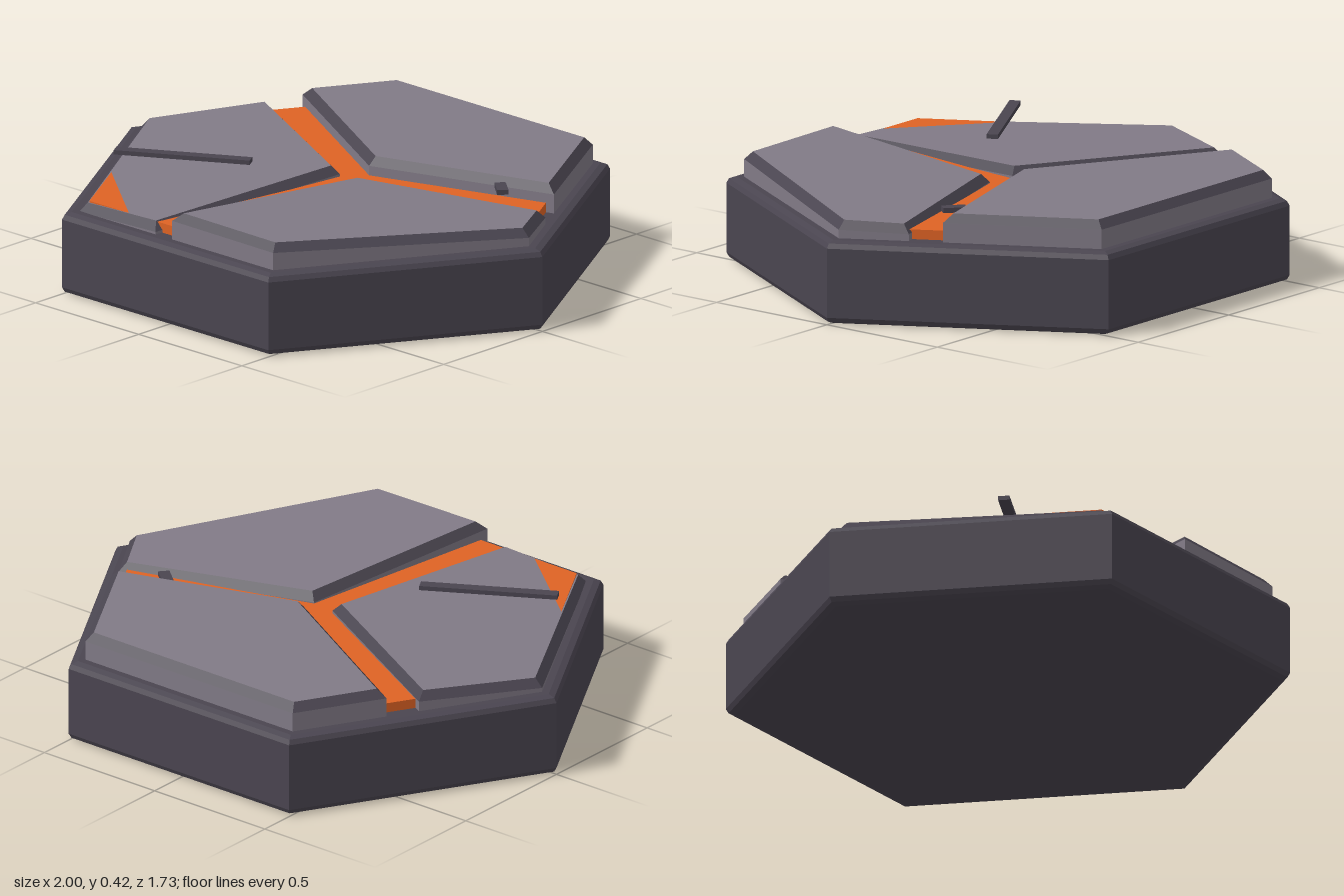
import * as THREE from 'three';

const mat = (color) => new THREE.MeshStandardMaterial({ color, flatShading: true });
const darkStone = mat(0x4a4550), paleStone = mat(0x817a86), lavaGlow = mat(0xdf6324);

// Hexagon corners [x, z], counter-clockwise seen from above
const hexagon = (r) => Array.from({ length: 6 }, (_, i) => {
  const a = (i * Math.PI) / 3;
  return [r * Math.cos(a), -r * Math.sin(a)];
});

// Raise a flat outline to a ring of 3D points at heights given by y(x, z)
const ring = (outline, y) => outline.map(([x, z]) => new THREE.Vector3(x, y(x, z), z));

// Shrink a convex outline evenly by d
function inset(outline, d) {
  const n = outline.length;
  const normals = outline.map((p, i) => {
    const q = outline[(i + 1) % n];
    return new THREE.Vector2(q[1] - p[1], p[0] - q[0]).normalize();
  });
  return outline.map(([x, z], i) => {
    const a = normals[(i + n - 1) % n], b = normals[i];
    const k = d / (1 + a.dot(b));
    return [x + (a.x + b.x) * k, z + (a.y + b.y) * k];
  });
}

// Flat-faced skin through stacked rings, with optional end caps
function loft(name, material, rings, { bottom = false, top = false } = {}) {
  const pts = [], n = rings[0].length;
  for (let r = 0; r + 1 < rings.length; r++) {
    const lo = rings[r], hi = rings[r + 1];
    for (let i = 0; i < n; i++) {
      const j = (i + 1) % n;
      pts.push(lo[i], lo[j], hi[j], lo[i], hi[j], hi[i]);
    }
  }
  const first = rings[0], last = rings[rings.length - 1];
  for (let i = 1; i < n - 1; i++) {
    if (bottom) pts.push(first[0], first[i + 1], first[i]);
    if (top) pts.push(last[0], last[i], last[i + 1]);
  }
  const geometry = new THREE.BufferGeometry().setFromPoints(pts);
  geometry.computeVertexNormals();
  const mesh = new THREE.Mesh(geometry, material);
  mesh.name = name;
  return mesh;
}

// Tilted slab: pale walls and top, dark chamfer between them
function slab(name, outline, topY) {
  const group = new THREE.Group();
  group.name = name;
  const foot = ring(outline, () => 0.295);
  const shoulder = ring(outline, (x, z) => topY(x, z) - 0.03);
  const rim = ring(inset(outline, 0.027), topY);
  group.add(
    loft('slabWall', paleStone, [foot, shoulder], { bottom: true }),
    loft('slabChamfer', darkStone, [shoulder, rim]),
    loft('slabTop', paleStone, [rim], { top: true }),
  );
  return group;
}

function bar(name, length, height, x, y, z, turn) {
  const mesh = new THREE.Mesh(new THREE.BoxGeometry(length, height, 0.04), darkStone);
  mesh.name = name;
  mesh.position.set(x, y, z);
  mesh.rotation.y = turn;
  return mesh;
}

export function createModel() {
  const model = new THREE.Group();
  model.name = 'hexTile';

  // Hexagonal base with softened edges: [radius, height]
  const profile = [[0.965, 0], [0.99, 0.008], [1, 0.025], [1, 0.275], [0.99, 0.292], [0.965, 0.3]];
  model.add(loft('base', darkStone,
    profile.map(([r, y]) => ring(hexagon(r), () => y)), { bottom: true, top: true }));

  // Glowing layer seen in the cracks
  model.add(loft('lava', lavaGlow,
    [0.295, 0.335].map((y) => ring(hexagon(0.9), () => y)), { top: true }));

  // Three broken slabs, each with its own slope
  model.add(slab('backSlab',
    [[0.47, -0.81], [-0.47, -0.81], [-0.645, -0.505], [0.065, -0.1], [0.75, -0.32]],
    () => 0.4));
  model.add(slab('leftSlab',
    [[0.81, -0.215], [0.1, 0], [-0.02, 0.81], [0.47, 0.81], [0.935, 0]],
    (x, z) => 0.37 - 0.01 * x + 0.035 * z));
  model.add(slab('rightSlab',
    [[0, -0.02], [-0.705, -0.4], [-0.935, 0], [-0.47, 0.81], [-0.1, 0.81]],
    (x, z) => 0.335 + 0.031 * (x + 0.61) - 0.039 * (z - 0.5)));

  // Thin stone slivers
  model.add(bar('longSliver', 0.49, 0.016, -0.405, 0.408, 0.352, Math.PI / 6));
  model.add(bar('shortSliver', 0.085, 0.018, 0.58, 0.374, -0.232, -0.7));
  return model;
}
